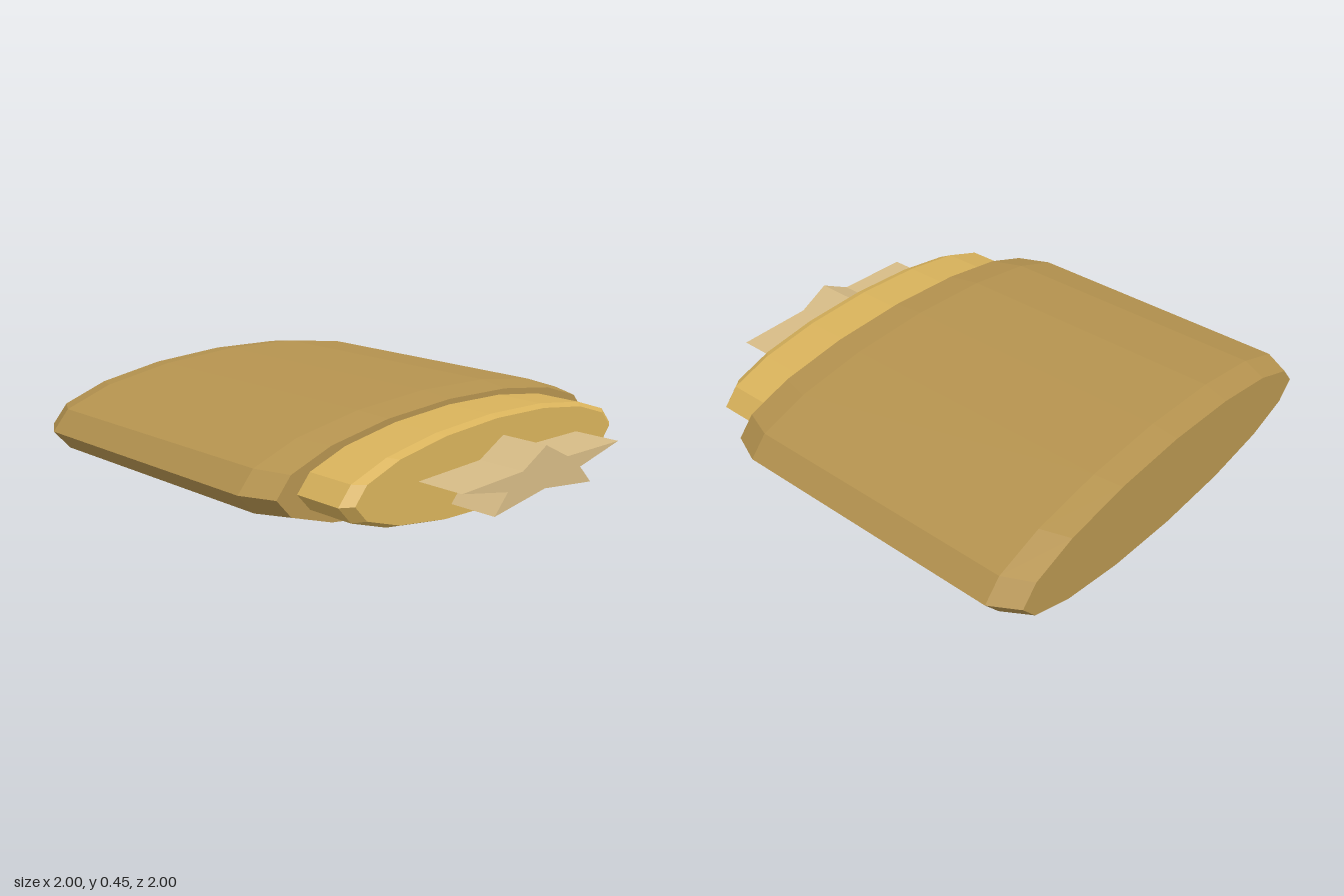
import * as THREE from 'three';

const CENTER_Y = 0.233;
const FLATTEN = 0.227; // height of the oval relative to its width

function material(name, color) {
  const m = new THREE.MeshStandardMaterial({ color, flatShading: true });
  m.name = name;
  return m;
}

// Closed 16-sided oval drum along z from [radius, z] pairs, back to front
function ovalDrum(name, profile, mat) {
  const points = profile.map(([r, z]) => new THREE.Vector2(r, z));
  const geometry = new THREE.LatheGeometry(points, 16);
  geometry.rotateX(Math.PI / 2);
  geometry.scale(1, FLATTEN, 1);
  const mesh = new THREE.Mesh(geometry, mat);
  mesh.name = name;
  mesh.position.y = CENTER_Y;
  return mesh;
}

export function createModel() {
  const group = new THREE.Group();
  group.name = 'ovalCaseWithStar';

  const bronze = material('bronze', 0xb5934f);
  const gold = material('gold', 0xd8b25b);
  const paleGold = material('pale gold', 0xd6bb86);

  // Main body with bevelled ends
  group.add(ovalDrum('body', [
    [0, -1], [0.93, -1], [1, -0.885], [1, 0.36], [0.94, 0.505], [0, 0.505],
  ], bronze));

  // Narrower front collar
  group.add(ovalDrum('collar', [
    [0, 0.5], [0.84, 0.5], [0.84, 0.72], [0.79, 0.755], [0, 0.755],
  ], gold));

  // Flattened five-pointed star floating ahead of the collar
  const corners = [];
  for (let i = 0; i < 10; i++) {
    const r = i % 2 ? 0.465 : 1;
    const a = Math.PI / 2 + (i * Math.PI) / 5;
    corners.push(new THREE.Vector2(0.518 * r * Math.cos(a), 0.118 * r * Math.sin(a)));
  }
  const starGeometry = new THREE.ExtrudeGeometry(new THREE.Shape(corners), {
    depth: 0.21, bevelEnabled: false,
  });
  const star = new THREE.Mesh(starGeometry, paleGold);
  star.name = 'star';
  star.position.set(-0.003, CENTER_Y, 0.788);
  group.add(star);

  return group;
}
